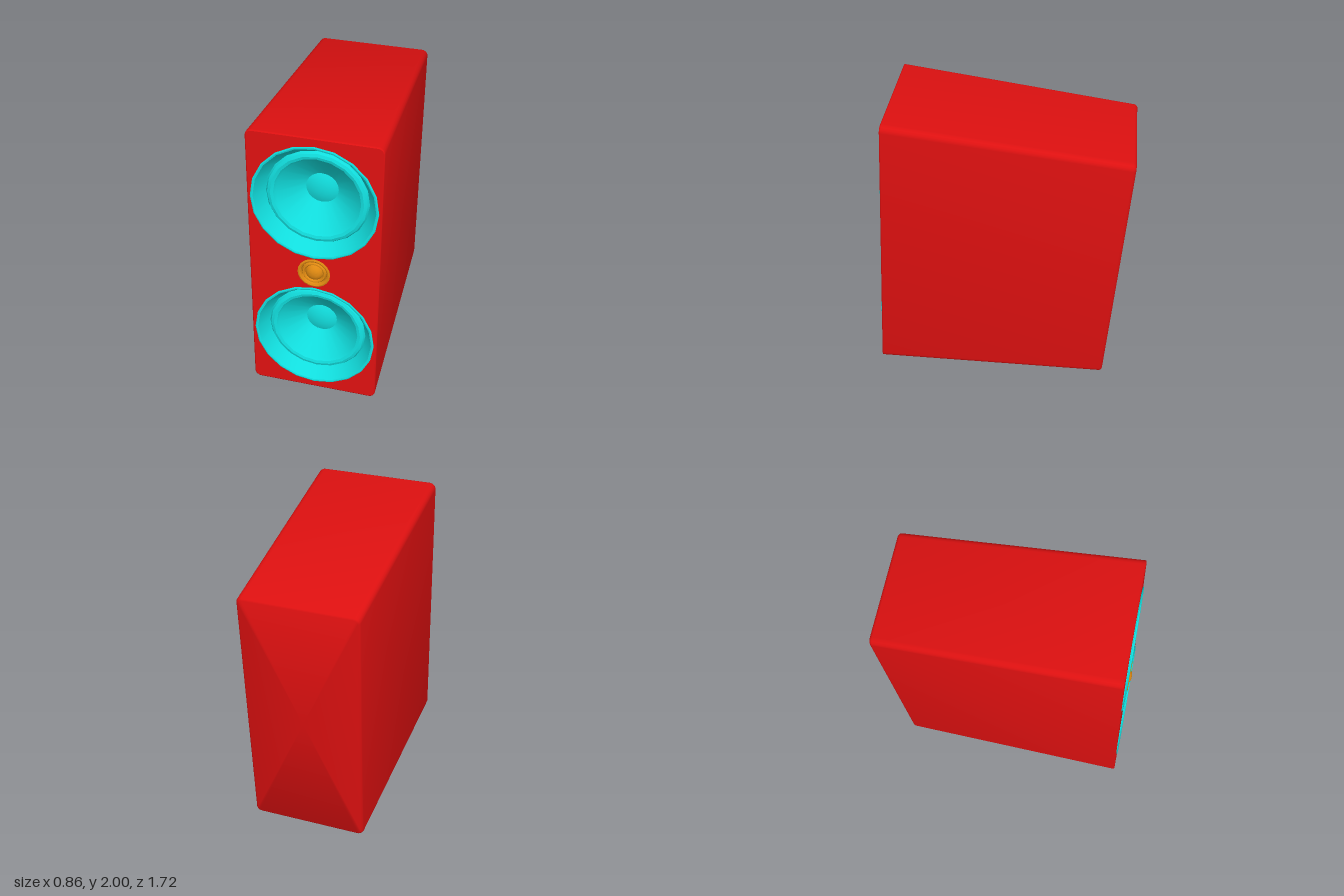
import * as THREE from 'three';
import { toCreasedNormals } from 'three/addons/utils/BufferGeometryUtils.js';

const red = new THREE.MeshStandardMaterial({ color: 0xdd1010 });
const cyan = new THREE.MeshStandardMaterial({ color: 0x11dddd });
const orange = new THREE.MeshStandardMaterial({ color: 0xdd8811 });

const lerp = THREE.MathUtils.lerp;
const TILT = Math.atan(0.125 / 1.98);

// Maps a straight box (x, y 0..2, t 0 front .. 1 back) onto the leaning, tapered cabinet
function warp(x, y, t) {
  const v = y / 2;
  return [
    x * lerp(1, 0.92, t),
    lerp(0.02 + 1.98 * v, 1.8 * v, t),
    lerp(0.86 - 0.125 * v, -0.745 - 0.115 * v, t),
  ];
}

// Rounded rectangle outline, counter-clockwise seen from the front
function outline(inset, radius = 0.045) {
  const w = 0.43 - inset, r = Math.max(radius - inset, 0.01), pts = [];
  const corners = [[w - r, 2 - inset - r], [-w + r, 2 - inset - r], [-w + r, inset + r], [w - r, inset + r]];
  corners.forEach(([cx, cy], q) => {
    for (let i = 0; i <= 5; i++) {
      const a = (q + i / 5) * Math.PI / 2;
      pts.push(new THREE.Vector2(cx + r * Math.cos(a), cy + r * Math.sin(a)));
    }
  });
  return pts;
}

// Sides and back: lofted outlines with softened front and back edges
function shellGeometry() {
  const rings = [[0.008, 0], [0.002, 0.002], [0, 0.006], [0, 0.988], [0.006, 0.996], [0.018, 1]];
  const pos = [], index = [];
  const n = outline(0).length;
  for (const [inset, t] of rings) for (const p of outline(inset)) pos.push(...warp(p.x, p.y, t));
  for (let i = 0; i < rings.length - 1; i++) {
    for (let k = 0; k < n; k++) {
      const a = i * n + k, b = i * n + (k + 1) % n;
      index.push(a, a + n, b, b, a + n, b + n);
    }
  }
  const last = (rings.length - 1) * n, centre = pos.length / 3;
  pos.push(...warp(0, 1, 1));
  for (let k = 0; k < n; k++) index.push(last + k, centre, last + (k + 1) % n);
  const g = new THREE.BufferGeometry();
  g.setAttribute('position', new THREE.Float32BufferAttribute(pos, 3));
  g.setIndex(index);
  return toCreasedNormals(g, 0.9);
}

// Front panel with round openings for the drivers
function baffleGeometry(holes) {
  const shape = new THREE.Shape(outline(0.008));
  for (const [y, r] of holes) {
    shape.holes.push(new THREE.Path().absarc(0, (y - 0.02) / 0.99, r, 0, Math.PI * 2, true));
  }
  const g = new THREE.ShapeGeometry(shape, 24);
  const p = g.attributes.position;
  for (let i = 0; i < p.count; i++) p.setXYZ(i, ...warp(p.getX(i), p.getY(i), 0));
  g.computeVertexNormals();
  return g;
}

// Turned part facing forward, seated on the leaning baffle; profile runs from rim to centre
function driver(name, profile, y, material) {
  const lathe = new THREE.LatheGeometry(profile.map(([r, d]) => new THREE.Vector2(r, d)), 20);
  lathe.rotateX(Math.PI / 2);
  const mesh = new THREE.Mesh(toCreasedNormals(lathe, 0.5), material);
  mesh.name = name;
  mesh.position.set(0, y, 0.86 - 0.125 * (y - 0.02) / 1.98);
  mesh.rotation.x = -TILT;
  return mesh;
}

export function createModel() {
  const group = new THREE.Group();
  group.name = 'loudspeaker';

  const cabinet = new THREE.Mesh(shellGeometry(), red);
  cabinet.name = 'cabinet';
  const baffle = new THREE.Mesh(baffleGeometry([[1.535, 0.398], [0.48, 0.398], [1.01, 0.1]]), red);
  baffle.name = 'frontPanel';
  group.add(cabinet, baffle);

  // Rim, funnel, rolled surround, cone and dust cap
  const woofer = [
    [0.41, -0.01], [0.41, 0.004], [0.402, 0.007], [0.392, 0.004], [0.337, -0.08], [0.333, -0.085],
    [0.322, -0.069], [0.302, -0.062], [0.282, -0.067], [0.268, -0.08],
    [0.106, -0.2], [0.08, -0.19], [0.045, -0.182], [0, -0.179],
  ];
  group.add(driver('upperWoofer', woofer, 1.535, cyan));
  group.add(driver('lowerWoofer', woofer, 0.48, cyan));

  // Stepped rings around a small dome
  const tweeter = [
    [0.108, -0.01], [0.108, 0.005], [0.098, 0.009], [0.088, 0.004], [0.082, -0.008], [0.074, 0.004],
    [0.066, 0.004], [0.058, -0.008], [0.052, 0.002], [0.04, 0.013], [0.022, 0.02], [0, 0.022],
  ];
  group.add(driver('tweeter', tweeter, 1.01, orange));
  return group;
}
